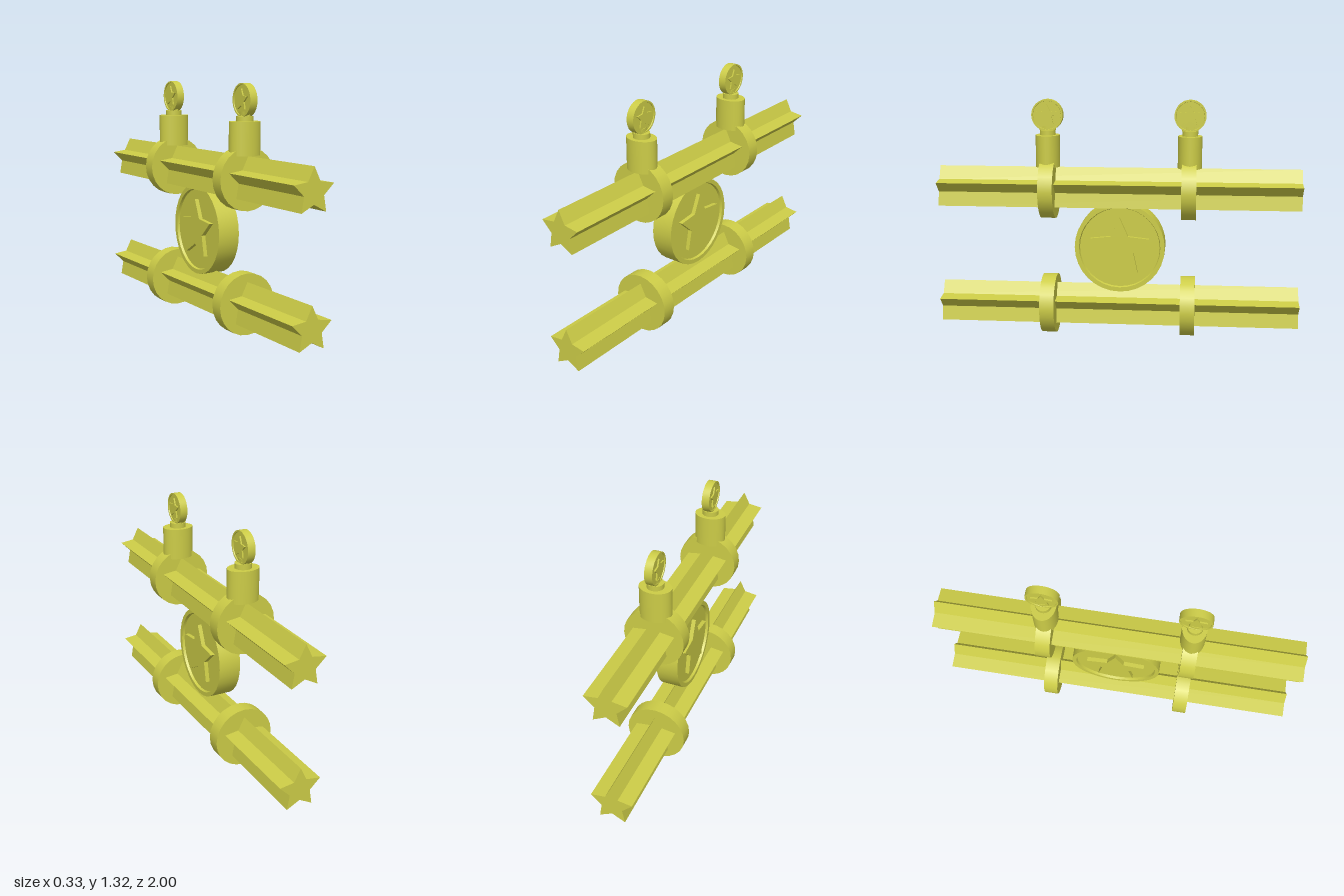
import * as THREE from 'three';
import { toCreasedNormals } from 'three/addons/utils/BufferGeometryUtils.js';

const material = new THREE.MeshStandardMaterial({ color: 0xcccc47 });

function mesh(name, geometry, x = 0, y = 0, z = 0) {
  const m = new THREE.Mesh(geometry, material);
  m.name = name;
  m.position.set(x, y, z);
  return m;
}

// Five-pointed star prism, centred, running along z
function starPrism(outer, inner, depth) {
  const points = [];
  for (let i = 0; i < 10; i++) {
    const a = Math.PI / 2 + (i * Math.PI) / 5;
    const r = i % 2 ? inner : outer;
    points.push(new THREE.Vector2(Math.cos(a) * r, Math.sin(a) * r));
  }
  const g = new THREE.ExtrudeGeometry(new THREE.Shape(points), { depth, bevelEnabled: false });
  return g.translate(0, 0, -depth / 2);
}

// Upright cylinder with an elliptical section, from y0 to y1
function ovalPost(rx, rz, y0, y1) {
  return new THREE.CylinderGeometry(1, 1, y1 - y0, 28).scale(rx, 1, rz).translate(0, (y0 + y1) / 2, 0);
}

// Disc facing both sides, with a rim, recessed faces and a raised star
function medallion(name) {
  const group = new THREE.Group();
  group.name = name;
  const profile = [
    [0, -0.048], [0.222, -0.048], [0.226, -0.062], [0.25, -0.062],
    [0.25, 0.062], [0.226, 0.062], [0.222, 0.048], [0, 0.048],
  ].map(([x, y]) => new THREE.Vector2(x, y));
  const disc = toCreasedNormals(new THREE.LatheGeometry(profile, 32), 0.6).rotateX(Math.PI / 2);
  group.add(mesh('rimmedDisc', disc));
  group.add(mesh('starEmblem', starPrism(0.17, 0.08, 0.142)));
  group.rotation.y = Math.PI / 2;
  return group;
}

export function createModel() {
  const model = new THREE.Group();
  model.name = 'starRailGate';

  // Two star-section rails with round collars
  for (const [label, y] of [['lower', 0.168], ['upper', 0.828]]) {
    model.add(mesh(label + 'Rail', starPrism(0.12, 0.06, 2), 0, y, 0));
    for (const z of [0.388, -0.388]) {
      const collar = new THREE.CylinderGeometry(0.166, 0.166, 0.08, 24).rotateX(Math.PI / 2);
      model.add(mesh(label + 'Collar', collar, 0, y, z));
    }
  }

  // Central medallion between the rails
  const centre = medallion('centreMedallion');
  centre.position.set(0, 0.508, -0.01);
  model.add(centre);

  // Posts on the upper collars, each topped by a small medallion
  for (const z of [0.392, -0.39]) {
    const finial = new THREE.Group();
    finial.name = 'finial';
    finial.position.z = z;
    finial.add(mesh('post', ovalPost(0.087, 0.066, 0.95, 1.125)));
    finial.add(mesh('neck', ovalPost(0.045, 0.043, 1.12, 1.152)));
    finial.add(mesh('stem', ovalPost(0.02, 0.045, 1.15, 1.175)));
    const top = medallion('finialMedallion');
    top.scale.setScalar(0.346);
    top.position.y = 1.234;
    finial.add(top);
    model.add(finial);
  }
  return model;
}
